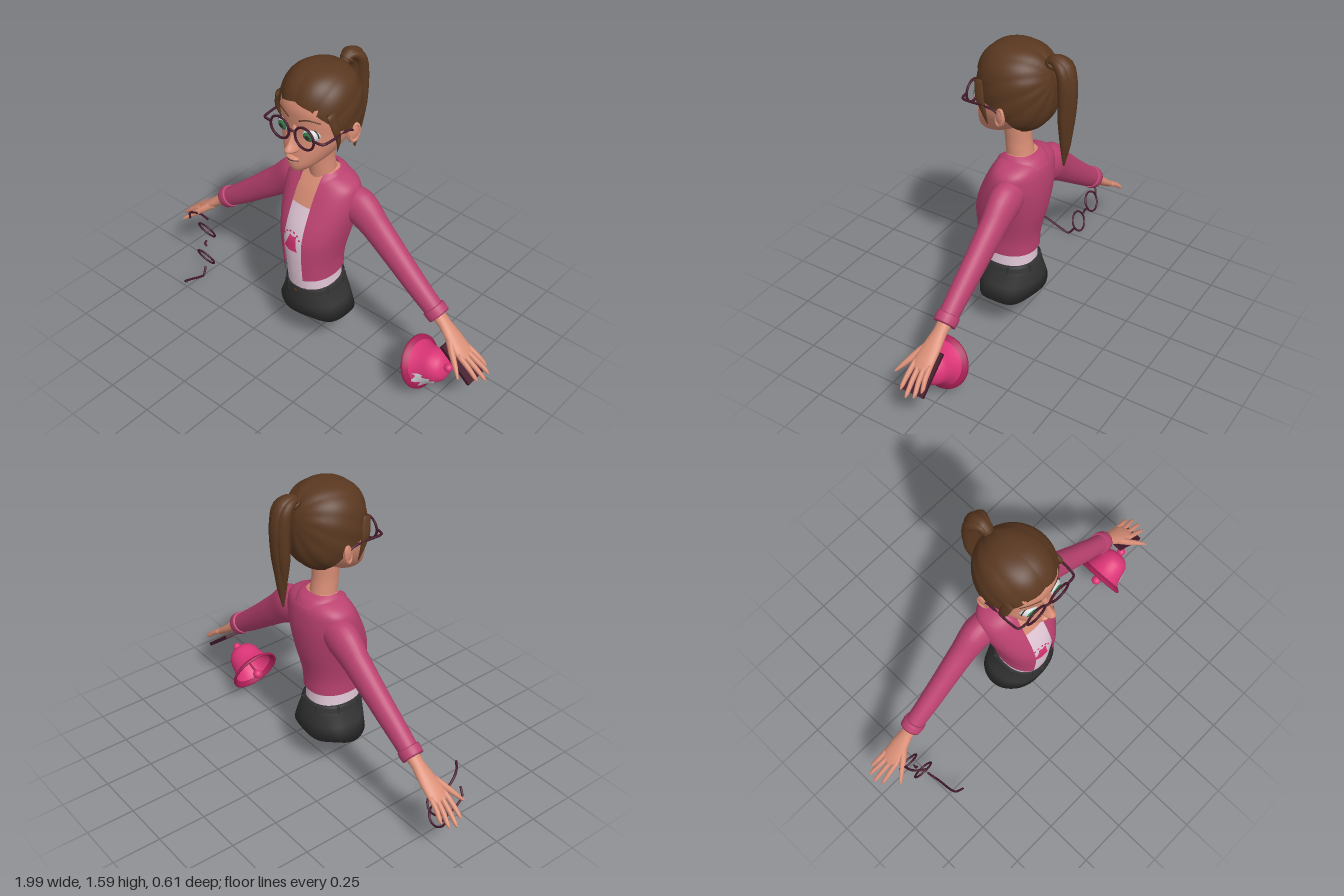
import * as THREE from 'three';
import { mergeVertices } from 'three/addons/utils/BufferGeometryUtils.js';

const mat = (name, color, side = THREE.FrontSide) => {
  const m = new THREE.MeshStandardMaterial({ color, side });
  m.name = name;
  return m;
};
const D = THREE.DoubleSide;
const skin = mat('skin', 0xd98e76), hair = mat('hair brown', 0x5a3820, D), jacketPink = mat('jacket pink', 0xbb4270, D),
  shirtPale = mat('shirt pale pink', 0xe2c8d8), charcoal = mat('charcoal', 0x333333, D), frame = mat('frame maroon', 0x451a2b),
  bellPink = mat('bell pink', 0xdc3577, D), rimPink = mat('rim pink', 0xa81f55, D), silver = mat('silver white', 0xd4d6d8, D),
  green = mat('iris green', 0x2f7d4a);

// Smooth surface sampled from fn(u, v) with u, v in 0..1
function grid(fn, nu, nv) {
  const pos = [], idx = [];
  for (let j = 0; j <= nv; j++) for (let i = 0; i <= nu; i++) pos.push(...fn(i / nu, j / nv));
  for (let j = 0; j < nv; j++) for (let i = 0; i < nu; i++) {
    const a = j * (nu + 1) + i, b = a + nu + 1;
    idx.push(a, a + 1, b + 1, a, b + 1, b);
  }
  let g = new THREE.BufferGeometry();
  g.setAttribute('position', new THREE.Float32BufferAttribute(pos, 3));
  g.setIndex(idx);
  g = mergeVertices(g, 1e-5);
  g.computeVertexNormals();
  return g;
}
const cr = (a, b, c, d, t) =>
  b + 0.5 * t * (c - a + t * (2 * a - 5 * b + 4 * c - d + t * (3 * (b - c) + d - a)));
const spow = (v, e) => Math.sign(v) * Math.pow(Math.abs(v), e);

// Upright body from rows [y, half width, front z, back z]; gap = [left x, right x] opens the front
function loft(rows, { p = 2.2, sub = 4, gap, nu = 64, dy = () => 0 } = {}) {
  const n = rows.length - 1;
  return grid((u, v) => {
    const s = v * n, k = Math.min(n - 1, Math.floor(s + 1e-9)), r = i => rows[Math.max(0, Math.min(n, i))];
    const [y, rx, zf, zb] = [0, 1, 2, 3].map(c => cr(r(k - 1)[c], r(k)[c], r(k + 1)[c], r(k + 2)[c], s - k));
    const edge = x => Math.asin(Math.min(0.95, Math.pow(x / rx, p / 2)));
    const a0 = gap ? edge(gap[0]) : 0, a1 = Math.PI * 2 - (gap ? edge(gap[1]) : 0);
    const a = a0 + (a1 - a0) * u;
    const z = (zf + zb) / 2 + (zf - zb) / 2 * spow(Math.cos(a), 2 / p);
    return [rx * spow(Math.sin(a), 2 / p), y + dy(a, v, z), z];
  }, nu, n * sub);
}
// Front surface height of a loft at x, y
function surf(rows, x, y, p = 2.2) {
  let k = 0;
  while (k < rows.length - 2 && rows[k + 1][0] < y) k++;
  const t = (y - rows[k][0]) / (rows[k + 1][0] - rows[k][0]);
  const [, rx, zf, zb] = rows[k].map((c, i) => c + (rows[k + 1][i] - c) * t);
  return (zf + zb) / 2 + (zf - zb) / 2 * Math.pow(Math.max(0, 1 - Math.pow(Math.abs(x / rx), p)), 1 / p);
}
// Tapering limb through points [x, y, z, radius, radius along axis]
function limb(pts, { nu = 16, sub = 4, axis = [0, 0, 1] } = {}) {
  const c = new THREE.CatmullRomCurve3(pts.map(q => new THREE.Vector3(q[0], q[1], q[2])));
  const n = (pts.length - 1) * sub, ax = new THREE.Vector3(...axis);
  return grid((u, v) => {
    const j = Math.round(v * (n + 2)) - 1, t = Math.max(0, Math.min(n, j)) / n, s = t * (pts.length - 1);
    const k = Math.min(pts.length - 2, Math.floor(s + 1e-9)), f = s - k, open = j < 0 || j > n ? 0 : 1;
    const rad = i => pts[k][i] + (pts[k + 1][i] - pts[k][i]) * f;
    const T = c.getTangent(t), S = ax.clone().addScaledVector(T, -T.dot(ax)).normalize(), U = T.clone().cross(S);
    return c.getPoint(t).addScaledVector(S, open * rad(4) * Math.cos(u * Math.PI * 2))
      .addScaledVector(U, open * rad(3) * Math.sin(u * Math.PI * 2)).toArray();
  }, nu, n + 2);
}
const wire = (pts, r = 0.006, axis) => limb(pts.map(q => [...q, r, r]), { nu: 8, axis });
function add(parent, name, geo, material, pos = [0, 0, 0], scale = [1, 1, 1]) {
  const m = new THREE.Mesh(geo, material);
  m.name = name;
  m.position.set(...pos);
  m.scale.set(...scale);
  parent.add(m);
  return m;
}
const ball = (n = 24) => new THREE.SphereGeometry(1, n, n / 2);
function group(parent, name) {
  const g = new THREE.Group();
  g.name = name;
  parent.add(g);
  return g;
}

export function createModel() {
  const root = new THREE.Group();
  root.name = 'woman';

  // Torso and clothes
  const jacket = [[.475, .132, .207, -.1], [.55, .136, .212, -.104], [.62, .148, .215, -.117], [.7, .165, .211, -.137],
    [.78, .182, .187, -.15], [.86, .195, .152, -.156], [.93, .197, .117, -.152], [.975, .185, .09, -.143],
    [1.005, .145, .07, -.125], [1.03, .078, .052, -.09]];
  const inset = jacket.map(([y, w, f, b]) => [y, w - .013, f - .013, b + .013]);
  const shirt = [[.385, .122, .184, -.09], ...inset.slice(0, 5), [.872, .18, .133, -.143]];
  add(root, 'jacket', loft(jacket, { gap: [.05, .062] }), jacketPink);
  add(root, 'shirt', loft(shirt), shirtPale);
  add(root, 'chest', loft([[.84, .17, .143, -.13], ...inset.slice(6).map(([y, w, f, b]) => [y, w - .004, f - .003, b + .004])]), skin);
  add(root, 'collar', loft([[.985, .118, .1, -.148], [1.02, .105, .085, -.125], [1.04, .083, .06, -.088]],
    { gap: [.06, .06], dy: (a, v, z) => -.2 * Math.max(0, z) }), jacketPink);
  add(root, 'neck', limb([[0, .95, -.02, .08, .07], [0, 1.02, -.01, .065, .067], [0, 1.1, 0, .062, .065], [0, 1.22, .005, .07, .07]], { nu: 32 }), skin);
  add(root, 'trousers', loft([[.235, 0, .03, .03], [.225, .2, .182, -.125], [.3, .168, .189, -.122], [.36, .143, .19, -.113],
    [.405, .133, .192, -.1], [.408, .12, .18, -.09]],
  { sub: 1, dy: (a, v) => (v > .1 && v < .3 ? .007 * Math.sin(a * 5) : 0) }), charcoal);
  add(root, 'belt', loft([[.375, .142, .196, -.112], [.4, .137, .196, -.106]], { sub: 1 }), charcoal);
  for (let i = 0; i < 8; i++) {
    const a = (i + .5) * Math.PI / 4;
    add(root, 'beltLoop', new THREE.BoxGeometry(.012, .045, .012), charcoal,
      [.138 * Math.sin(a), .387, .043 + .152 * Math.cos(a)]).rotation.y = a;
  }
  add(root, 'trouserButton', ball(12), hair, [0, .388, .195], [.009, .009, .005]);
  // Printed motif on the shirt
  const print = (x, y) => [x, y, surf(shirt, x, y) + .005];
  add(root, 'shirtPrint', grid((u, v) => print(-.025 + (u - .5) * (.095 - .055 * Math.pow(v, .6)) + .015 * v,
    .635 + .085 * v + .012 * Math.abs(u - .5)), 10, 8), bellPink);
  for (let i = 0; i < 6; i++) {
    const a = -1.1 + i * .44, [x, y] = [-.02 + .055 * Math.sin(a), .69 + .052 * Math.cos(a)];
    add(root, 'printSparkle', ball(8), bellPink, print(x, y), [.006, .006, .003]);
  }

  // Head and face
  const face = [[1.112, 0, .15, .15], [1.115, .035, .187, .1], [1.127, .052, .198, .06], [1.15, .078, .202, .02], [1.18, .104, .2, -.03],
    [1.22, .131, .194, -.08], [1.27, .155, .185, -.12], [1.32, .167, .18, -.15], [1.38, .171, .185, -.16],
    [1.44, .167, .187, -.16], [1.5, .145, .165, -.14], [1.54, .1, .12, -.1], [1.565, 0, 0, 0]];
  const head = group(root, 'head');
  add(head, 'face', loft(face), skin);
  add(head, 'nose', loft([[1.213, 0, .18, .18], [1.222, .022, .215, .15], [1.236, .029, .244, .15], [1.25, .025, .243, .15],
    [1.275, .016, .224, .15], [1.31, .013, .205, .15], [1.35, .016, .188, .15], [1.37, 0, .17, .17]], { p: 2, nu: 24 }), skin);
  add(head, 'upperLip', ball(), skin, [0, 1.191, .199], [.036, .009, .02]);
  add(head, 'lowerLip', ball(), skin, [0, 1.176, .197], [.03, .01, .021]);
  add(head, 'mouthLine', wire([[-.034, 1.184, .197], [-.015, 1.184, .214], [0, 1.183, .217], [.015, 1.184, .214], [.034, 1.184, .197]], .0022), frame);

  for (const s of [1, -1]) {
    const half = group(head, s > 0 ? 'leftFace' : 'rightFace');
    half.scale.x = s;
    // Eye
    const eye = group(half, 'eye');
    eye.position.set(.073, 1.322, .146);
    eye.scale.set(.045, .036, .042);
    eye.rotation.y = .12;
    const cap = (r, th) => new THREE.SphereGeometry(r, 24, 8, 0, Math.PI * 2, 0, th).rotateX(Math.PI / 2);
    add(eye, 'eyeball', ball(), silver);
    add(eye, 'iris', cap(1.02, .66), green);
    add(eye, 'pupil', cap(1.04, .3), charcoal);
    add(eye, 'lashes', new THREE.TorusGeometry(1, .07, 8, 24, Math.PI), charcoal, [0, 0, .35]);
    // Brow
    const brow = [[.03, 1.39], [.075, 1.405], [.12, 1.393]].map(([x, y]) => [x, y, surf(face, x, y) + .001]);
    add(half, 'brow', wire(brow, .004), hair);
    // Ear
    const ear = add(half, 'ear', ball(), skin, [.177, 1.293, -.012], [.016, .05, .03]);
    ear.rotation.set(-.15, -.35, -.15);
    const rimMesh = add(half, 'earRim', new THREE.TorusGeometry(.032, .008, 8, 24), skin, [.186, 1.297, -.014], [.72, 1.3, 1]);
    rimMesh.rotation.set(-.1, 1.2, -.1);
    // Worn glasses
    add(half, 'glassesRing', new THREE.TorusGeometry(.055, .006, 8, 40), frame, [.073, 1.322, .2]);
    add(half, 'glassesTemple', wire([[.125, 1.332, .2], [.172, 1.33, .192], [.18, 1.33, .17], [.184, 1.328, .02], [.184, 1.29, -.035]]), frame);
    // Loose lock in front of the ear
    add(half, 'sideLock', limb([[.15, 1.44, .11, .012, .03], [.171, 1.36, .098, .01, .024], [.17, 1.29, .08, .008, .012], [.155, 1.225, .07, .002, .003]]), hair);
  }
  add(head, 'glassesBridge', wire([[-.022, 1.335, .2], [0, 1.342, .208], [.022, 1.335, .2]]), frame);

  // Swept-back hair: a shell from crown to hairline, ridged towards the knot
  const line = [[0, 1.478], [.45, 1.455], [.85, 1.4], [1.15, 1.345], [1.5, 1.325], [1.8, 1.27], [2.2, 1.2], [3.2, 1.178]];
  const hairline = a => {
    let k = 0;
    while (k < line.length - 2 && line[k + 1][0] < a) k++;
    return THREE.MathUtils.lerp(line[k][1], line[k + 1][1], (a - line[k][0]) / (line[k + 1][0] - line[k][0]));
  };
  add(head, 'hairCap', grid((u, v) => {
    const a = u * Math.PI * 2, P = 2.45, w = Math.min(1, (1 - v) / .96);
    const c = Math.cos(w * Math.acos((hairline(Math.min(a, Math.PI * 2 - a)) - 1.38) / .213));
    const r = Math.pow(1 - Math.pow(Math.min(1, Math.abs(c)), P), 1 / P) * (v < .02 ? .82 : 1);
    const x = .186 * r * Math.sin(a), y = .213 * c, z = .194 * r * Math.cos(a);
    const ridge = 1 + .022 * (Math.abs(Math.sin(6 * Math.atan2(x, y + .55 * z + .02))) - .5) * Math.min(1, r * 1.4);
    return [x * ridge, 1.38 + y * ridge, z * ridge];
  }, 120, 40), hair);
  // Ponytail of overlapping strands
  for (const [x, k, len] of [[0, 1, 0], [.028, .7, .03], [-.028, .7, .05]])
    add(head, 'ponytailStrand', limb([[0, 1.5, -.14, .02, .02], [x * .5, 1.555, -.185, .025 * k, .03 * k], [x, 1.53, -.235, .04 * k, .042 * k],
      [x, 1.43, -.255, .047 * k, .046 * k], [x, 1.28, -.254, .04 * k, .04 * k], [x * .7, 1.13 + len, -.25, .024 * k, .025 * k],
      [x * .3, 1.02 + len, -.245, .004, .004]], { axis: [1, 0, 0] }), hair);
  add(head, 'hairTie', new THREE.TorusGeometry(.024, .011, 8, 20), hair, [0, 1.535, -.175]).rotation.x = .7;

  // Arms and hands
  for (const s of [1, -1]) {
    const arm = group(root, s > 0 ? 'leftArm' : 'rightArm');
    arm.scale.x = s;
    add(arm, 'sleeve', limb([[.11, .89, -.045, .08, .07], [.2, .862, -.05, .1, .075], [.3, .787, -.05, .079, .062], [.45, .667, -.045, .066, .055],
      [.58, .565, -.04, .058, .05], [.685, .487, -.038, .05, .046]], { nu: 28 }), jacketPink);
    add(arm, 'cuff', limb([[.66, .508, -.038, .058, .054], [.675, .496, -.038, .06, .056], [.7, .477, -.038, .057, .053]], { nu: 28 }), jacketPink);
    add(arm, 'palm', limb([[.66, .505, -.038, .034, .036], [.73, .452, -.036, .027, .034], [.79, .404, -.031, .025, .046],
      [.85, .358, -.027, .021, .052], [.885, .332, -.027, .014, .046]], { nu: 20 }), skin);
    [[-.066, .955, -.082, .278], [-.04, .985, -.06, .262], [-.014, .995, -.022, .253], [.014, .975, .018, .268]].forEach(([z0, x1, z1, y1]) =>
      add(arm, 'finger', limb([[.855, .356, z0, .013, .013], [(.865 + x1) / 2, (.36 + y1) / 2, (z0 + z1) / 2, .0125, .0125],
        [x1 - .015, y1 + .013, z1, .01, .01], [x1, y1, z1, .004, .004]], { nu: 10 }), skin));
    add(arm, 'thumb', limb([[.78, .405, -.01, .018, .022], [.83, .365, .03, .016, .018], [.88, .325, .065, .012, .013], [.915, .295, .092, .005, .005]], { nu: 12, axis: [0, 1, 0] }), skin);
  }

  // Slim plate under the left hand
  add(root, 'handheldPlate', new THREE.BoxGeometry(.22, .018, .115), frame, [.855, .3, -.022]).rotation.z = -.69;

  // Hand bell, mouth towards the right side of the body
  const bell = group(root, 'bell');
  bell.position.set(.637, .175, .015);
  bell.rotation.z = -1.195;
  const wall = [[.112, .026], [.099, .05], [.09, .08], [.085, .11], [.077, .135], [.058, .157], [.03, .168], [0, .171]];
  const V = q => q.map(([x, y]) => new THREE.Vector2(x, y));
  add(bell, 'bellBody', new THREE.LatheGeometry(V(wall), 48), bellPink);
  add(bell, 'bellRim', new THREE.LatheGeometry(V([[.108, .024], [.122, .006], [.128, 0], [.135, .003], [.134, .013], [.124, .019], [.112, .028]]), 48), rimPink);
  add(bell, 'bellKnob', ball(), bellPink, [0, .185, 0], [.022, .022, .022]);
  add(bell, 'clapperRod', new THREE.CylinderGeometry(.006, .006, .19, 10), rimPink, [0, .07, 0]);
  add(bell, 'clapper', ball(), bellPink, [0, -.02, 0], [.025, .025, .025]);
  // Ragged silver patch painted on the bell
  const wallR = y => {
    let k = 0;
    while (k < wall.length - 2 && wall[k + 1][1] < y) k++;
    return THREE.MathUtils.lerp(wall[k][0], wall[k + 1][0], (y - wall[k][1]) / (wall[k + 1][1] - wall[k][1]));
  };
  add(bell, 'bellPatch', grid((u, v) => {
    const a = -.05 + 1.45 * u, lo = .04 + .015 * Math.sin(u * 17), hi = .07 + .055 * Math.sin(u * 3.1) + .012 * Math.sin(u * 29);
    const y = lo + (hi - lo) * v, r = wallR(y) + .004;
    return [r * Math.sin(a), y, r * Math.cos(a)];
  }, 40, 8), silver);

  // Spare glasses dangling from the right hand
  const spare = group(root, 'spareGlasses');
  for (const [x, y, z] of [[-.805, .235, .025], [-.767, .1, .08]])
    add(spare, 'spareRing', new THREE.TorusGeometry(.055, .0055, 8, 40), frame, [x, y, z]).rotation.x = .42;
  add(spare, 'spareBridge', wire([[-.79, .182, .047], [-.792, .168, .058], [-.782, .154, .058]]), frame);
  add(spare, 'spareUpperTemple', wire([[-.815, .288, .003], [-.84, .33, .03], [-.842, .37, .08], [-.825, .4, .12], [-.785, .41, .155]]), frame);
  add(spare, 'spareLowerTemple', wire([[-.755, .05, .1], [-.745, .012, .13], [-.74, .022, .16], [-.735, .062, .25], [-.725, .08, .28], [-.69, .11, .3]], .006, [1, 0, 0]), frame);
  return root;
}
